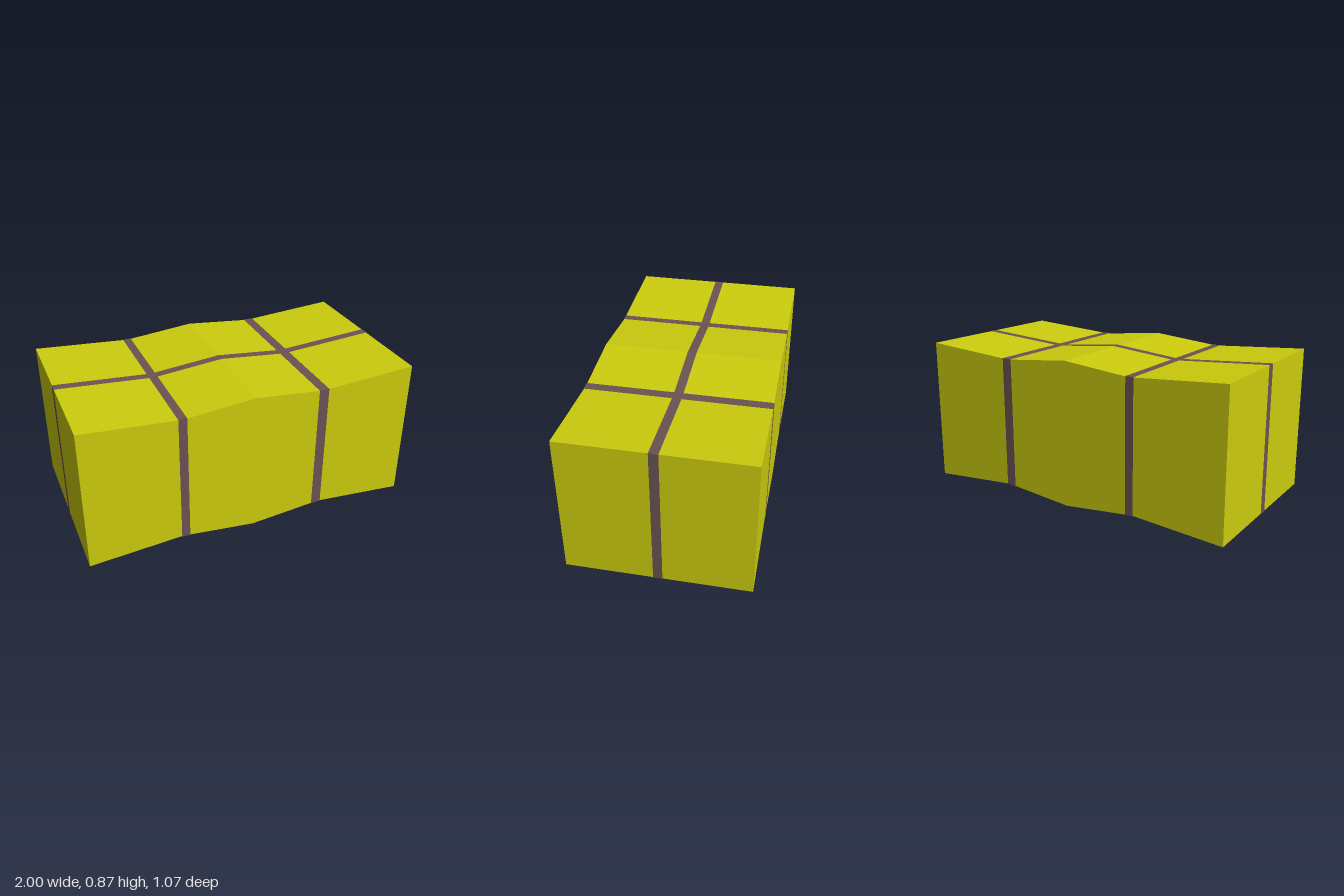
import * as THREE from 'three';

// Pinched outline of the bale (x, y), counter-clockwise
const TOP = [[1, 0.867], [0.45, 0.829], [0.39, 0.829], [0, 0.867], [-0.4, 0.829], [-0.45, 0.829], [-1, 0.867]];
const BOTTOM = [[-1, 0], [-0.45, 0.044], [-0.4, 0.04], [0, 0], [0.39, 0.04], [0.45, 0.044], [1, 0]];
const HALF_DEPTH = 0.53;
const LIFT = 0.0015; // straps sit just proud of the bale

// Closed band joining two matching loops of points
function bandGeometry(loopA, loopB) {
  const n = loopA.length;
  const index = [];
  for (let i = 0; i < n; i++) {
    const j = (i + 1) % n;
    index.push(i, j, n + j, i, n + j, n + i);
  }
  const geometry = new THREE.BufferGeometry();
  geometry.setAttribute('position', new THREE.Float32BufferAttribute([...loopA, ...loopB].flat(), 3));
  geometry.setIndex(index);
  const flat = geometry.toNonIndexed();
  flat.computeVertexNormals();
  return flat;
}

export function createModel() {
  const group = new THREE.Group();
  group.name = 'bale';
  const straw = new THREE.MeshStandardMaterial({ color: 0xcccc0e, flatShading: true });
  const twine = new THREE.MeshStandardMaterial({ color: 0x6b5353, flatShading: true, side: THREE.DoubleSide });
  const add = (name, geometry, material) => {
    const mesh = new THREE.Mesh(geometry, material);
    mesh.name = name;
    group.add(mesh);
  };

  // Bale body
  const outline = new THREE.Shape([...TOP, ...BOTTOM].map(([x, y]) => new THREE.Vector2(x * 0.9975, y)));
  const body = new THREE.ExtrudeGeometry(outline, { depth: 2 * HALF_DEPTH, bevelEnabled: false });
  body.translate(0, 0, -HALF_DEPTH);
  add('baleBody', body, straw);

  // Lengthwise strap follows the outline
  const ring = (z) => [
    ...TOP.map(([x, y]) => [x * 0.9975 + Math.sign(x) * LIFT, y + LIFT, z]),
    ...BOTTOM.map(([x, y]) => [x * 0.9975 + Math.sign(x) * LIFT, y - LIFT, z]),
  ];
  add('lengthwiseStrap', bandGeometry(ring(0.026), ring(-0.027)), twine);

  // Two cross straps lie in the pinches
  const hoop = (x, yLow) => {
    const z = HALF_DEPTH + LIFT;
    const low = yLow - LIFT * 1.3, high = 0.829 + LIFT * 1.3;
    return [[x, low, z], [x, low, -z], [x, high, -z], [x, high, z]];
  };
  add('rightCrossStrap', bandGeometry(hoop(-0.45, 0.044), hoop(-0.4, 0.04)), twine);
  add('leftCrossStrap', bandGeometry(hoop(0.39, 0.04), hoop(0.45, 0.044)), twine);

  // The bale lies very slightly askew
  group.rotation.y = 0.005;
  group.position.y = LIFT;
  return group;
}
